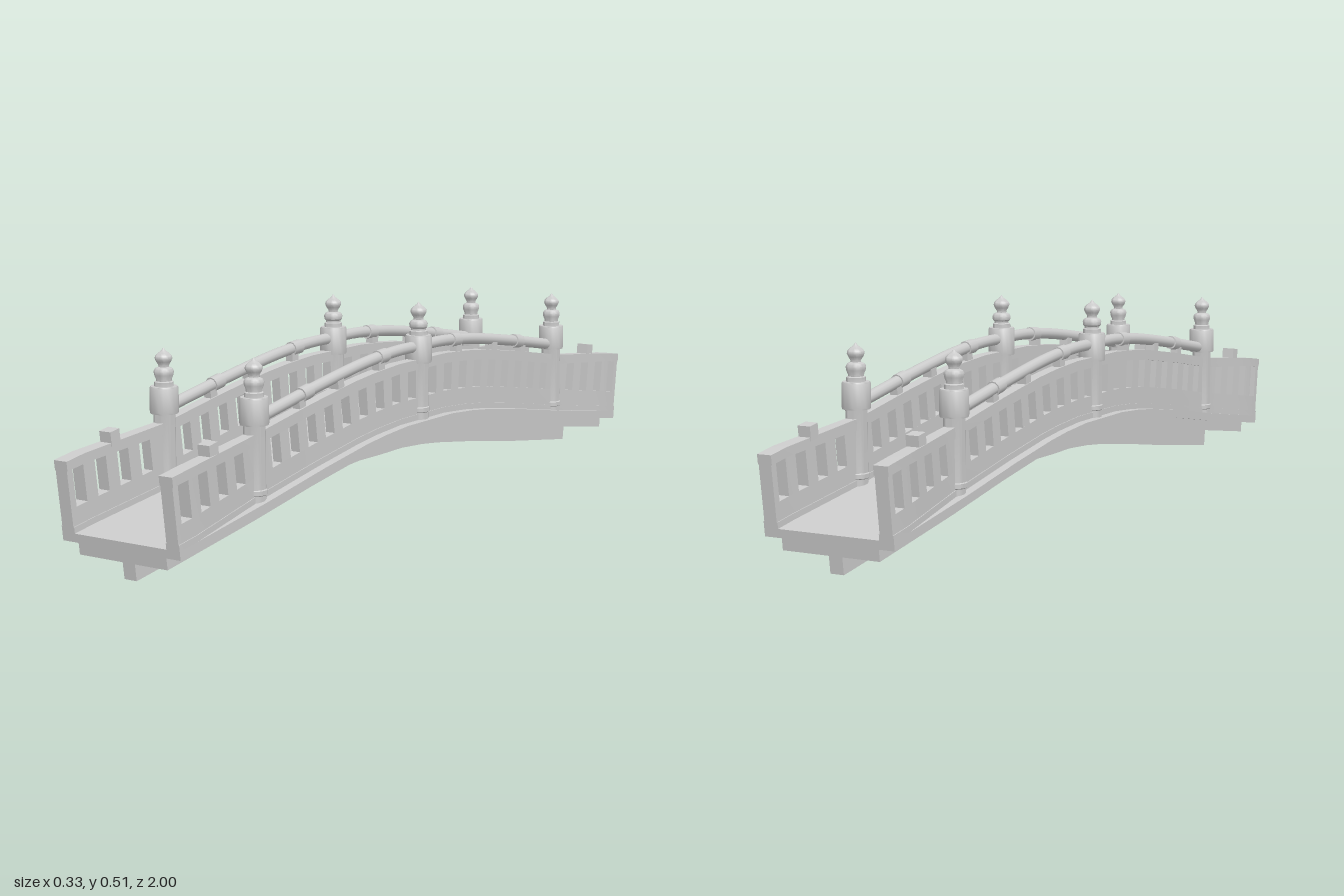
import * as THREE from 'three';
import { toCreasedNormals } from 'three/addons/utils/BufferGeometryUtils.js';

const grey = new THREE.MeshStandardMaterial({ color: 0xcccccc });

// Arch of the walking surface: [distance from middle, height]
const ARCH = [[0, 0.22], [0.1, 0.22], [0.2, 0.213], [0.28, 0.204], [0.45, 0.178], [0.67, 0.14], [0.98, 0.092]];
const lerp = THREE.MathUtils.lerp;

function deckY(z) {
  const d = Math.abs(z);
  let i = 1;
  while (i < ARCH.length - 1 && d > ARCH[i][0]) i++;
  const [a, ya] = ARCH[i - 1], [b, yb] = ARCH[i];
  return lerp(ya, yb, (d - a) / (b - a));
}

// 0 between the end posts, rising to 1 at the bridge ends
const flare = z => THREE.MathUtils.clamp((Math.abs(z) - 0.67) / 0.25, 0, 1);
const wallX = z => 0.127 + 0.018 * flare(z);
const wallHalf = z => 0.012 + 0.004 * flare(z);
const wallTop = z => 0.15 + 0.012 * flare(z);
const windowTop = z => 0.125 + 0.015 * flare(z);

// Bar of rectangular section following the arch; section(z) = [x0, x1, low, high] above the deck
function bar(z0, z1, section) {
  const zs = [z0, z1];
  for (const [d] of [...ARCH, [0.75], [0.84], [0.92]]) {
    for (const z of [d, -d]) if (z > z0 + 1e-3 && z < z1 - 1e-3 && !zs.includes(z)) zs.push(z);
  }
  zs.sort((a, b) => a - b);
  const pos = [], index = [];
  zs.forEach((z, i) => {
    const [x0, x1, lo, hi] = section(z);
    const lean = 0.13 * THREE.MathUtils.clamp(z / 0.3, -1, 1);
    for (const [x, h] of [[x0, lo], [x1, lo], [x1, hi], [x0, hi]]) pos.push(x, deckY(z) + h, z + h * lean);
    if (!i) return;
    for (let j = 0; j < 4; j++) {
      const a = i * 4 - 4 + j, b = i * 4 - 4 + (j + 1) % 4;
      index.push(a, b, b + 4, a, b + 4, a + 4);
    }
  });
  const e = (zs.length - 1) * 4;
  index.push(0, 2, 1, 0, 3, 2, e, e + 1, e + 2, e, e + 2, e + 3);
  const g = new THREE.BufferGeometry();
  g.setAttribute('position', new THREE.Float32BufferAttribute(pos, 3));
  g.setIndex(index);
  return toCreasedNormals(g, 0.3);
}

function add(parent, name, geometry, x = 0, y = 0, z = 0) {
  const m = new THREE.Mesh(geometry, grey);
  m.name = name;
  m.position.set(x, y, z);
  parent.add(m);
  return m;
}

// Section of the side wall between two heights, with extra thickness
const wallSection = (s, lo, hi, extra = 0) => z => {
  const c = s * wallX(z), h = wallHalf(z) + extra;
  return [c - h, c + h, typeof lo === 'function' ? lo(z) : lo, typeof hi === 'function' ? hi(z) : hi];
};

// Turned post with a collar and a bulb finial
function postGeometry(base, collar, collarHeight) {
  const top = collar + collarHeight, tip = collar + 0.15;
  const pts = [
    [0, base], [0.025, base], [0.025, base + 0.022], [0.0275, base + 0.024], [0.0275, base + 0.034],
    [0.025, base + 0.036], [0.025, collar], [0.032, collar], [0.033, collar + 0.004], [0.033, top - 0.004],
    [0.031, top], [0.022, top], [0.022, top + 0.01], [0.018, top + 0.012], [0.018, top + 0.016],
    [0.022, tip - 0.062], [0.023, tip - 0.054], [0.02, tip - 0.048], [0.012, tip - 0.044], [0.012, tip - 0.04],
    [0.017, tip - 0.032], [0.02, tip - 0.025], [0.019, tip - 0.019], [0.013, tip - 0.013], [0.005, tip - 0.007], [0, tip]
  ];
  return toCreasedNormals(new THREE.LatheGeometry(pts.map(p => new THREE.Vector2(...p)), 20), 0.7);
}

export function createModel() {
  const bridge = new THREE.Group();
  bridge.name = 'archedFootbridge';

  // Deck, support plank and central beam
  add(bridge, 'deck', bar(-0.98, 0.98, () => [-0.163, 0.163, -0.02, 0]));
  add(bridge, 'supportPlank', bar(-0.977, 0.977, () => [-0.122, 0.122, -0.048, -0.02]));
  add(bridge, 'centralBeam', bar(-0.96, 0.96, z => [-0.017, 0.017, -0.095 - 0.009 * (1 - Math.abs(z) / 0.96), -0.048]));

  // Window centres along one half of a wall
  const windows = [];
  for (let k = 0; k < 9; k++) windows.push(0.045 + 0.0687 * k);
  for (let k = 0; k < 4; k++) windows.push(0.735 + 0.07 * k);
  const half = 0.0175;

  for (const s of [-1, 1]) {
    const side = new THREE.Group();
    side.name = s > 0 ? 'leftSide' : 'rightSide';
    bridge.add(side);

    // Wall: lower panel, top rail and the uprights between the windows
    add(side, 'lowerPanel', bar(-0.98, 0.98, wallSection(s, 0, 0.055)));
    add(side, 'curb', bar(-0.98, 0.98, wallSection(s, 0, 0.014, 0.002)));
    add(side, 'topRail', bar(-0.98, 0.98, wallSection(s, windowTop, wallTop, 0.002)));
    for (const d of [-1, 1]) {
      windows.forEach((w, i) => {
        const a = w + half, b = i + 1 < windows.length ? windows[i + 1] - half : 0.98;
        add(side, 'upright', bar(d > 0 ? a : -b, d > 0 ? b : -a, wallSection(s, 0.055, windowTop)));
      });
      // Small block on the end wall
      add(side, 'railBlock', bar(d * 0.825 - 0.015, d * 0.825 + 0.015, () => [s * 0.137 - 0.016, s * 0.137 + 0.016, 0.15, 0.183]));
    }
    add(side, 'middleUpright', bar(-0.045 + half, 0.045 - half, wallSection(s, 0.055, windowTop)));

    // Round handrail between the end posts
    const path = [];
    for (const z of [-0.67, -0.45, -0.28, -0.2, -0.1, 0, 0.1, 0.2, 0.28, 0.45, 0.67])
      path.push(new THREE.Vector3(s * 0.127, deckY(z) + 0.18, z));
    add(side, 'handrail', new THREE.TubeGeometry(new THREE.CatmullRomCurve3(path), 48, 0.014, 12));

    // Cuffs and brackets carrying the handrail
    for (const z of [-0.48, -0.165, 0.165, 0.48]) {
      const cuff = add(side, 'railCuff', new THREE.CylinderGeometry(0.0175, 0.0175, 0.035, 12), s * 0.127, deckY(z) + 0.18, z);
      cuff.rotation.x = Math.PI / 2 - Math.atan((deckY(z + 0.02) - deckY(z - 0.02)) / 0.04);
      add(side, 'railBracket', bar(z - 0.012, z + 0.012, () => [s * 0.127 - 0.01, s * 0.127 + 0.01, 0.145, 0.175]));
    }
    for (const z of [-0.33, 0.33])
      add(side, 'railBracket', bar(z - 0.012, z + 0.012, () => [s * 0.127 - 0.012, s * 0.127 + 0.012, 0.145, 0.18]));

    // Posts
    for (const z of [-0.67, 0.67]) add(side, 'endPost', postGeometry(0.13, 0.31, 0.062), s * 0.127, 0, z);
    add(side, 'middlePost', postGeometry(0.215, 0.36, 0.068), s * 0.127, 0, 0);
  }
  return bridge;
}
